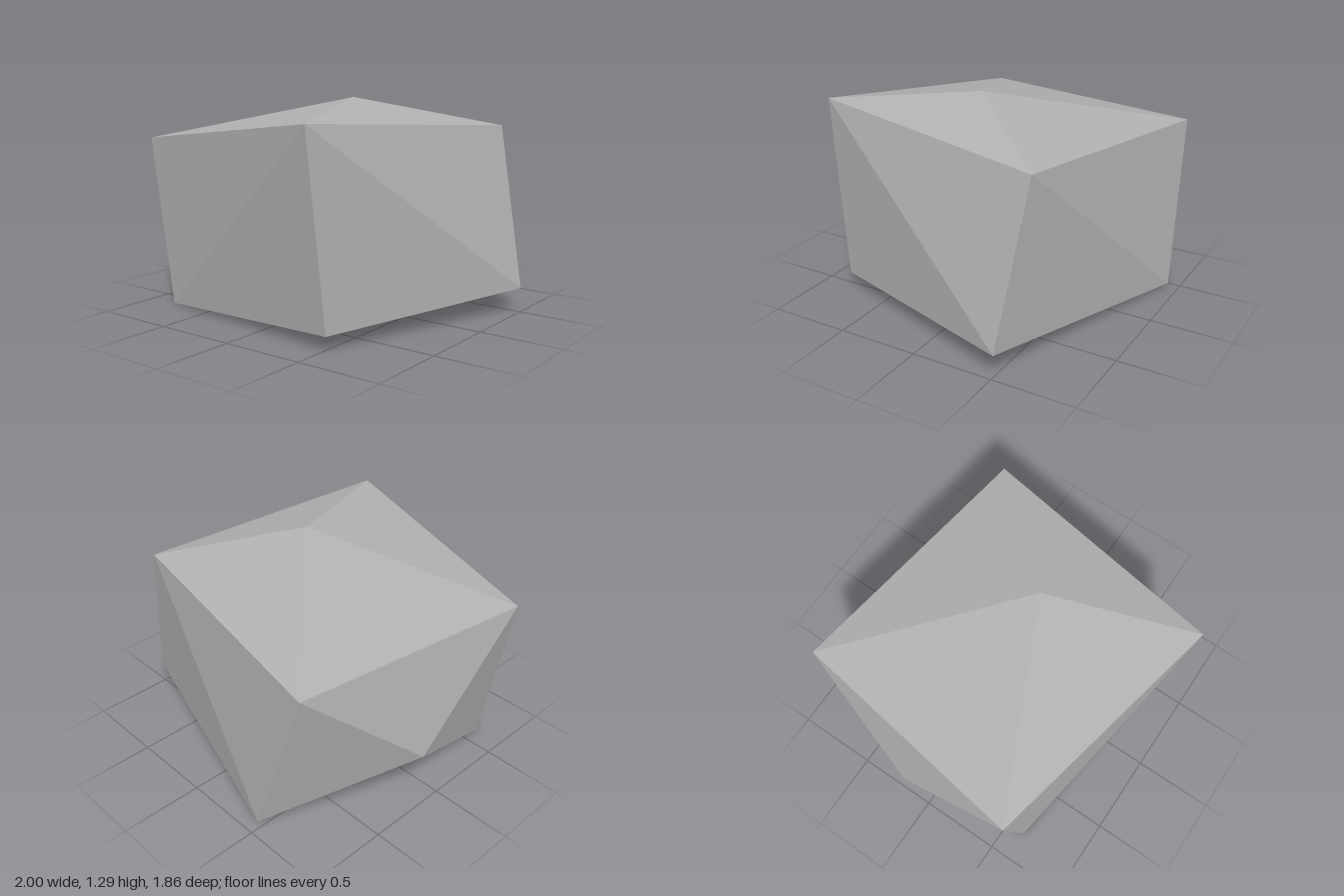
import * as THREE from 'three';

// Corner rings, in order: front left, front right, back right, back left as seen from the front
const top = [[-1, 1.025, 0.6], [0.49, 1.205, 0.925], [0.785, 1.11, -0.615], [-0.775, 1.01, -0.875]];
const base = [[-0.815, 0, 0.62], [0.53, 0.09, 0.81], [0.995, 0.145, -0.51], [-0.47, 0.015, -0.93]];
const peak = [0.16, 1.29, 0.06];
const sideBulge = [-1, 0.36, -0.15];
const underside = [0.44, 0.078, -0.55];

// Triangles from each edge of a ring to a centre point
const fan = (ring, centre) => ring.flatMap((p, i) => [p, ring[(i + 1) % ring.length], centre]);

// Two triangles over a four-cornered side, split along the chosen diagonal
const quad = (bl, br, tr, tl, rising) =>
  rising ? [bl, br, tr, bl, tr, tl] : [bl, br, tl, br, tr, tl];

function facets(name, points, material) {
  const geometry = new THREE.BufferGeometry();
  geometry.setAttribute('position', new THREE.Float32BufferAttribute(points.flat(), 3));
  geometry.computeVertexNormals();
  const mesh = new THREE.Mesh(geometry, material);
  mesh.name = name;
  return mesh;
}

export function createModel() {
  const stone = new THREE.MeshStandardMaterial({ color: 0xb0b0b0 });
  stone.name = 'stone grey';
  stone.flatShading = true;

  const rock = new THREE.Group();
  rock.name = 'rock';

  // Peaked top
  rock.add(facets('rockTop', fan(top, peak), stone));

  // Front, right and back walls
  ['frontWall', 'rightWall', 'backWall'].forEach((name, i) =>
    rock.add(facets(name, quad(base[i], base[i + 1], top[i + 1], top[i], i === 0), stone)));

  // Remaining wall, pushed outward at one point
  rock.add(facets('bulgingWall', fan([base[3], base[0], top[0], top[3]], sideBulge), stone));

  // Bottom
  rock.add(facets('rockBottom', fan([...base].reverse(), underside), stone));

  return rock;
}
